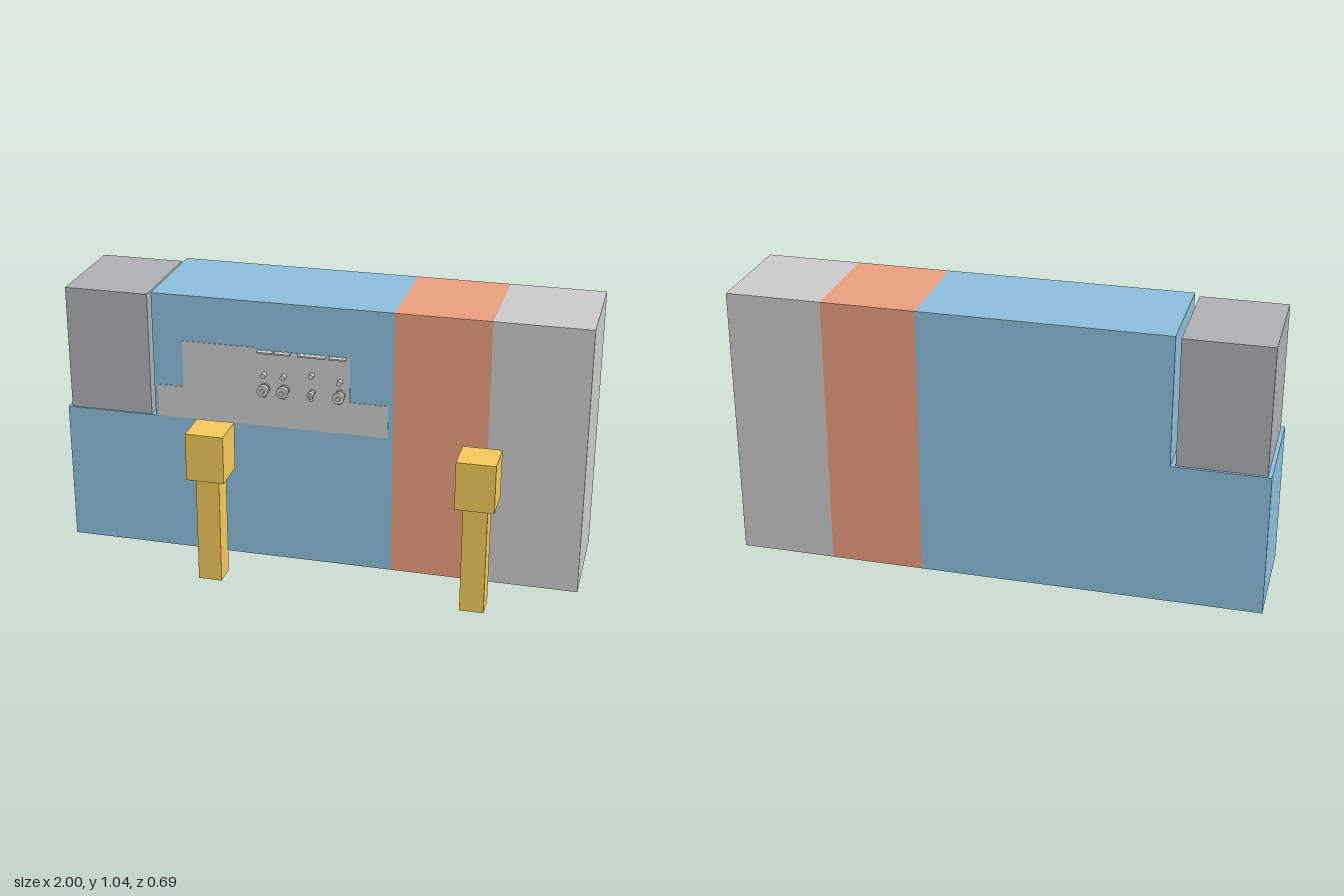
import * as THREE from 'three';

const mat = (color) => new THREE.MeshStandardMaterial({ color });

export function createModel() {
  const model = new THREE.Group();
  const blue = mat(0x8cbfdc), orange = mat(0xea9f7d), gold = mat(0xf5c959);
  const grey = mat(0xcccccc), darkGrey = mat(0xaeb0b4);
  const front = 0.08, back = -0.345, top = 1.045;

  const add = (parent, name, geometry, material) => {
    const mesh = new THREE.Mesh(geometry, material);
    mesh.name = name;
    parent.add(mesh);
    return mesh;
  };
  // Box given by its lower and upper limits on each axis
  const box = (parent, name, material, x0, x1, y0, y1, z0, z1) => {
    const mesh = add(parent, name, new THREE.BoxGeometry(x1 - x0, y1 - y0, z1 - z0), material);
    mesh.position.set((x0 + x1) / 2, (y0 + y1) / 2, (z0 + z1) / 2);
    return mesh;
  };

  // Main cabinet: stepped outline extruded through the depth
  const outline = new THREE.Shape([
    [-1, 0], [0.285, 0], [0.285, top], [-0.642, top], [-0.642, 0.55], [-1, 0.55],
  ].map(([x, y]) => new THREE.Vector2(x, y)));
  const cabinet = add(model, 'cabinet',
    new THREE.ExtrudeGeometry(outline, { depth: front - back, bevelEnabled: false }), blue);
  cabinet.position.z = back;

  // Side sections and the block on the step
  box(model, 'middleSection', orange, 0.285, 0.64, 0, top, back, front);
  box(model, 'endSection', grey, 0.64, 1, 0, top, back, front);
  box(model, 'stepBlock', darkGrey, -0.985, -0.66, 0.55, 1.035, -0.335, 0.075);

  // Thin panels on the front
  const skin = front + 0.002;
  box(model, 'lowerPanel', grey, -0.63, 0.265, 0.552, 0.68, front - 0.01, skin);
  box(model, 'leftPanel', grey, -0.525, -0.24, 0.68, 0.865, front - 0.01, skin);
  box(model, 'fittingsPanel', grey, -0.24, 0.12, 0.68, 0.857, front - 0.01, skin);

  // Cylinder pointing forwards from depth z0 to z1
  const stub = (parent, name, r, x, y, z0, z1) => {
    const mesh = add(parent, name, new THREE.CylinderGeometry(r, r, z1 - z0, 20), grey);
    mesh.rotation.x = Math.PI / 2;
    mesh.position.set(x, y, (z0 + z1) / 2);
  };

  // Fittings: flanged outlet, drain neck, small valve and shelf strip
  const fittings = [
    { x: -0.205, r: 0.022, valveY: 0.763, strip: [-0.23, -0.172] },
    { x: -0.13, r: 0.022, valveY: 0.763, strip: [-0.163, -0.105] },
    { x: -0.022, r: 0.013, valveY: 0.778, strip: [-0.075, 0.03] },
    { x: 0.085, r: 0.022, valveY: 0.763, strip: [0.045, 0.107] },
  ];
  fittings.forEach(({ x, r, valveY, strip }) => {
    const fitting = new THREE.Group();
    fitting.name = 'fitting';
    model.add(fitting);
    const y = 0.708;
    stub(fitting, 'outletBody', r * 0.75, x, y, front, 0.122);
    stub(fitting, 'outletBase', r * 0.9, x, y, front, 0.09);
    stub(fitting, 'outletFlange', r, x, y, 0.105, 0.122);
    stub(fitting, 'outletTip', r * 0.4, x, y, 0.122, 0.13);
    const neck = add(fitting, 'drainNeck', new THREE.CylinderGeometry(r * 0.5, r * 0.5, 0.03, 16), grey);
    neck.position.set(x, 0.695, 0.1);
    stub(fitting, 'valveStem', 0.006, x, valveY, front, 0.1);
    stub(fitting, 'valveKnob', 0.01, x, valveY, 0.088, 0.11);
    box(fitting, 'shelfStrip', grey, strip[0], strip[1], 0.85, 0.856, front, 0.104);
  });

  // Free-standing posts in front
  [-0.363, 0.638].forEach((x) => {
    const post = new THREE.Group();
    post.name = 'post';
    model.add(post);
    box(post, 'postShaft', gold, x - 0.045, x + 0.045, 0, 0.425, 0.23, 0.32);
    box(post, 'postHead', gold, x - 0.072, x + 0.072, 0.422, 0.607, 0.202, 0.346);
  });

  return model;
}
